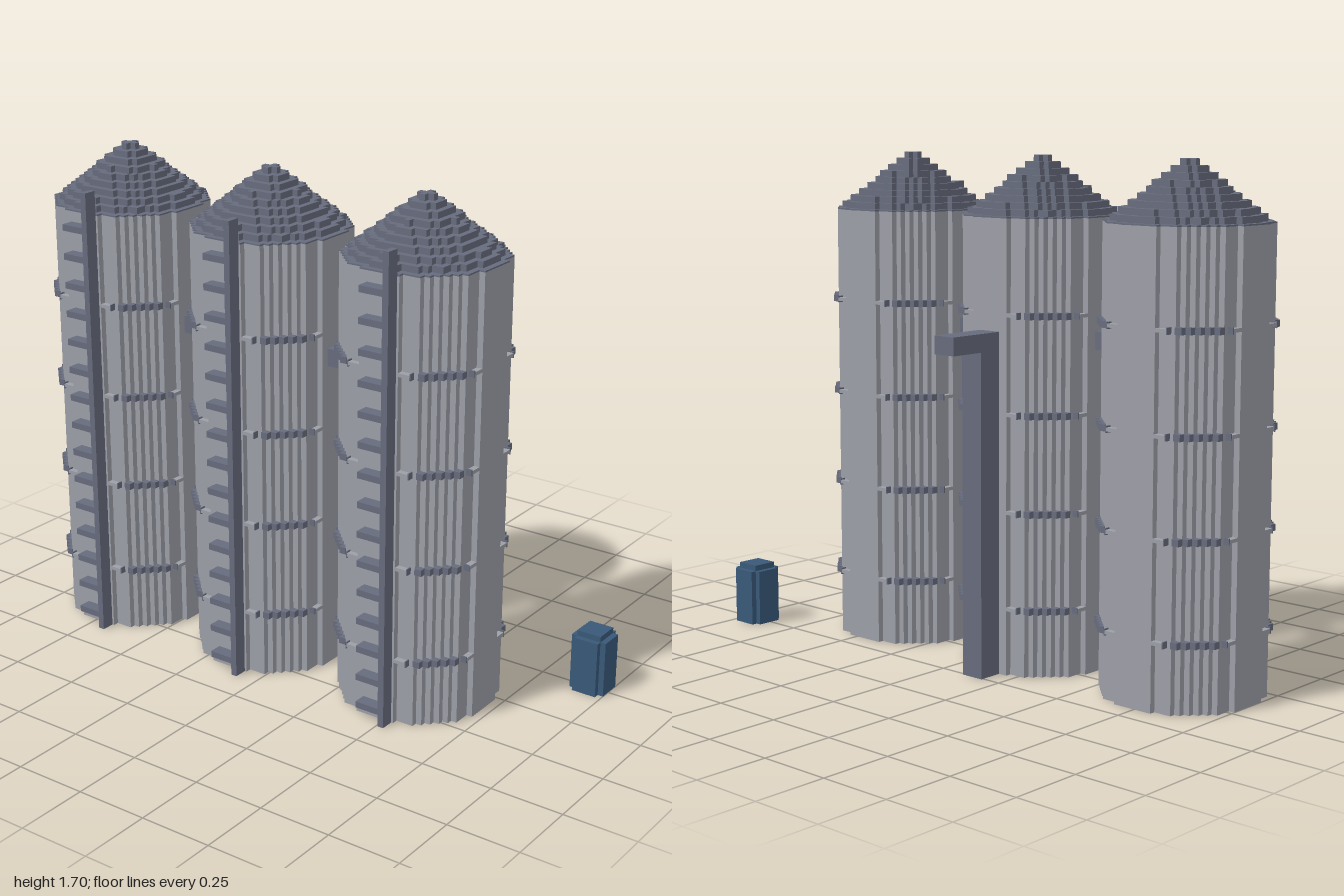
import * as THREE from 'three';
import { mergeGeometries } from 'three/addons/utils/BufferGeometryUtils.js';

const CELL = 0.0206;      // horizontal block size
const WALL_R2 = 158;      // squared wall radius, in blocks
const HOOP_R2 = 176;      // squared hoop radius, in blocks
const EAVES = 1.51;
const PEAK = 1.70;

const mat = (name, color) => {
  const m = new THREE.MeshStandardMaterial({ color, side: THREE.DoubleSide });
  m.name = name;
  return m;
};

// Stepped disc outline made of square blocks
function steppedDisc(r2) {
  const n = Math.floor(Math.sqrt(r2));
  const right = [];
  const add = (x, y) => {
    const last = right[right.length - 1];
    if (!last || last.x !== x || last.y !== y) right.push(new THREE.Vector2(x, y));
  };
  for (let j = -n; j <= n; j++) {
    const w = Math.floor(Math.sqrt(r2 - j * j)) + 0.5;
    add(w, j - 0.5);
    add(w, j + 0.5);
  }
  const left = right.map((p) => new THREE.Vector2(-p.x, p.y)).reverse();
  return new THREE.Shape([...right, ...left].map((p) => p.multiplyScalar(CELL)));
}

// Upright extrusion of an outline from y0 to y1
function prism(shape, y0, y1) {
  const g = new THREE.ExtrudeGeometry(shape, { depth: y1 - y0, bevelEnabled: false });
  return g.rotateX(-Math.PI / 2).translate(0, y0, 0);
}

// Only the side faces of an extrusion
function sidesOnly(g) {
  const { start, count } = g.groups[1];
  const out = new THREE.BufferGeometry();
  for (const key of ['position', 'normal', 'uv']) {
    const a = g.attributes[key], s = a.itemSize;
    out.setAttribute(key, new THREE.BufferAttribute(a.array.slice(start * s, (start + count) * s), s));
  }
  return out;
}

// Box given by its limits
function box(x0, x1, y0, y1, z0, z1) {
  return new THREE.BoxGeometry(x1 - x0, y1 - y0, z1 - z0)
    .translate((x0 + x1) / 2, (y0 + y1) / 2, (z0 + z1) / 2);
}

// Box around a point, with half sizes
const boxAt = (x, y, z, hx, hy, hz) => box(x - hx, x + hx, y - hy, y + hy, z - hz, z + hz);

const polygon = (points) => new THREE.Shape(points.map(([x, y]) => new THREE.Vector2(x, y)));

export function createModel() {
  const wallMat = mat('pale grey metal', 0x9d9fa7);
  const trimMat = mat('slate grey', 0x676c7d);
  const binMat = mat('dark blue', 0x395978);

  const model = new THREE.Group();
  model.name = 'siloYard';
  const part = (parent, name, geometry, material) => {
    const m = new THREE.Mesh(geometry, material);
    m.name = name;
    parent.add(m);
  };

  // Wall, open underneath
  const wallGeo = sidesOnly(prism(steppedDisc(WALL_R2), 0, EAVES - 0.005));

  // Roof: a thin eaves slab and nine shrinking steps
  const roofParts = [prism(steppedDisc(WALL_R2), EAVES - 0.005, EAVES)];
  const stepH = (PEAK - EAVES) / 9;
  for (let i = 0; i < 9; i++) {
    const r = 11.4 - 1.27 * i;
    roofParts.push(prism(steppedDisc(r * r), EAVES + i * stepH, EAVES + (i + 1) * stepH));
  }
  const roofGeo = mergeGeometries(roofParts);

  // Hoops: blocks standing proud of the wall, with slim brackets and end plates
  const hoopParts = [], bracketParts = [];
  const half = CELL / 2;
  for (let k = 0; k < 4; k++) {
    const y = 0.225 + 0.3232 * k;
    for (let i = -12; i <= 12; i++) for (let j = -12; j <= 12; j++) {
      const d = i * i + j * j;
      if (d <= WALL_R2 || d > HOOP_R2) continue;
      const x = i * CELL, z = j * CELL;
      if (Math.abs(i) < 12 && Math.abs(j) < 12) {
        hoopParts.push(boxAt(x, y, z, half * 1.2, 0.011, half * 1.2));
        continue;
      }
      bracketParts.push(boxAt(x, y, z, half, 0.006, half));
      if (Math.abs(i) === 5) hoopParts.push(boxAt(x + Math.sign(i) * half * 1.2, y, z, half * 0.2, 0.011, half));
      if (Math.abs(j) === 5) hoopParts.push(boxAt(x, y, z + Math.sign(j) * half * 1.2, half, 0.011, half * 0.2));
    }
  }
  const hoopGeo = mergeGeometries(hoopParts);
  const bracketGeo = mergeGeometries(bracketParts);

  // Ladder: one rail with rungs to one side
  const railGeo = box(-0.304, -0.258, 0, 1.59, 0.043, 0.065);
  const rungs = [];
  for (let i = 0; i < 15; i++) {
    const y = 0.04 + 0.1005 * i;
    rungs.push(box(-0.302, -0.25, y, y + 0.022, -0.045, 0.043));
  }
  const rungGeo = mergeGeometries(rungs);

  for (const z of [-0.742, -0.14, 0.462]) {
    const silo = new THREE.Group();
    silo.name = 'silo';
    silo.position.set(-0.086, 0, z);
    part(silo, 'wall', wallGeo, wallMat);
    part(silo, 'roof', roofGeo, trimMat);
    part(silo, 'hoops', hoopGeo, trimMat);
    part(silo, 'hoopBrackets', bracketGeo, wallMat);
    part(silo, 'ladderRail', railGeo, trimMat);
    part(silo, 'ladderRungs', rungGeo, trimMat);
    model.add(silo);
  }

  // Connecting ducts between neighbouring silos
  for (const z of [-0.441, 0.161]) {
    part(model, 'duct', box(-0.13, -0.05, 1.08, 1.14, z - 0.05, z + 0.05), trimMat);
  }

  // Loading pipe, open underneath, and spout on the middle silo
  const pipe = polygon([[0.165, 0.098], [0.258, 0.098], [0.258, 0.181], [0.165, 0.181]]);
  part(model, 'loadingPipe', sidesOnly(prism(pipe, 0, 1.08)), trimMat);
  part(model, 'spout', box(0.165, 0.385, 1.08, 1.14, -0.181, -0.098), trimMat);

  // Bin with notched corners, open underneath, and a raised lid
  const bin = new THREE.Group();
  bin.name = 'bin';
  bin.position.set(0.257, 0, 0.937);
  const a = 0.0435, b = 0.063;
  const plus = polygon([[a, -b], [a, -a], [b, -a], [b, a], [a, a], [a, b],
    [-a, b], [-a, a], [-b, a], [-b, -a], [-a, -a], [-a, -b]]);
  part(bin, 'binBody', sidesOnly(prism(plus, 0, 0.19)), binMat);
  part(bin, 'binRim', prism(plus, 0.19, 0.195), binMat);
  part(bin, 'binLid', box(-a, a, 0.195, 0.215, -a, a), binMat);
  model.add(bin);

  return model;
}
